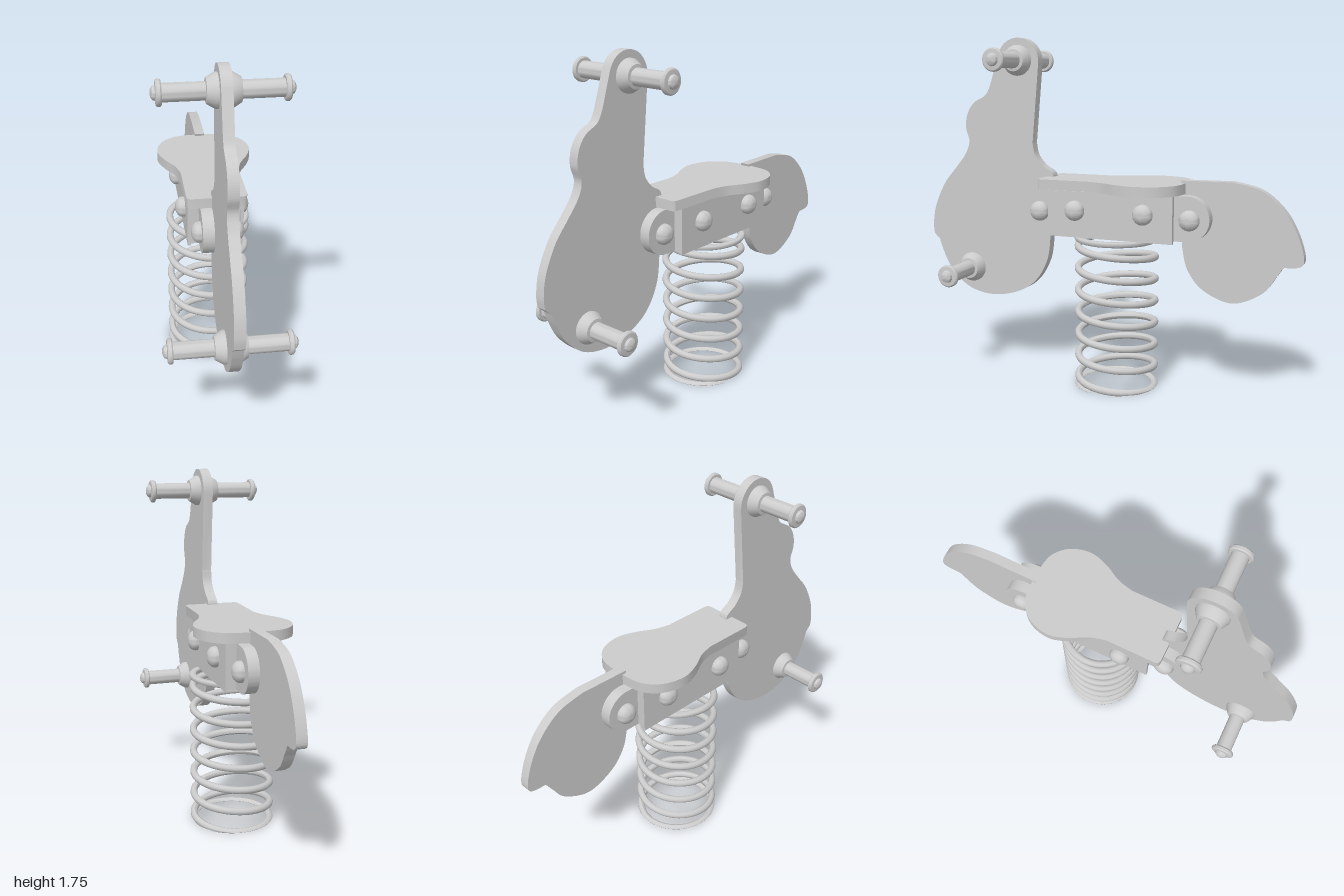
import * as THREE from 'three';
import { toCreasedNormals } from 'three/addons/utils/BufferGeometryUtils.js';

const material = new THREE.MeshStandardMaterial({ color: 0xcccccc });
const v2 = ([x, y]) => new THREE.Vector2(x, y);

function add(parent, name, geometry, x = 0, y = 0, z = 0) {
  const mesh = new THREE.Mesh(geometry, material);
  mesh.name = name;
  mesh.position.set(x, y, z);
  parent.add(mesh);
  return mesh;
}

// Closed outline from smooth runs; consecutive runs are joined by straight lines
function outline(...runs) {
  const shape = new THREE.Shape();
  runs.forEach((run, i) => {
    if (i === 0) shape.moveTo(...run[0]);
    else shape.lineTo(...run[0]);
    if (run.length > 1) shape.splineThru(run.slice(1).map(v2));
  });
  return shape;
}

function extrude(shape, depth) {
  const g = new THREE.ExtrudeGeometry(shape, { depth, bevelEnabled: false, curveSegments: 40 });
  g.translate(0, 0, -depth / 2);
  return toCreasedNormals(g, 0.5);
}

// Upright board drawn as (z, y), thickness along x
const board = (shape, thickness) => extrude(shape, thickness).rotateY(-Math.PI / 2);

function lathe(points, side) {
  const g = new THREE.LatheGeometry(points.map(v2), 32);
  return toCreasedNormals(g.rotateZ(-side * Math.PI / 2), 0.6);
}

export function createModel() {
  const model = new THREE.Group();
  model.name = 'springRider';

  // Front board: round head, chest bulge, wide rounded belly
  const arc = [];
  for (let i = 0; i <= 12; i++) {
    const a = Math.PI * (0.9 - 0.92 * i / 12);
    arc.push([0.467 + 0.117 * Math.cos(a), 1.633 + 0.117 * Math.sin(a)]);
  }
  arc.reverse().forEach(p => { p[0] = +p[0].toFixed(3); });
  // the head leans back, so the arc runs from the rear (low z) to the front
  const head = arc.map(([z, y]) => [0.934 - z, y]);
  const front = outline(
    head,
    [[0.63, 1.51], [0.66, 1.46], [0.73, 1.42], [0.77, 1.36], [0.78, 1.29], [0.762, 1.22],
      [0.785, 1.155], [0.84, 1.085], [0.92, 0.99], [0.98, 0.87], [1.0, 0.77], [0.997, 0.71]],
    [[0.965, 0.68], [0.94, 0.61], [0.89, 0.52], [0.785, 0.43], [0.64, 0.4], [0.49, 0.43],
      [0.38, 0.5], [0.31, 0.62], [0.29, 0.76]],
    [[0.27, 1.04], [0.28, 1.075], [0.335, 1.11], [0.375, 1.16], [0.388, 1.22]],
  );
  add(model, 'frontBoard', board(front, 0.05));

  // Tail board
  const tail = outline(
    [[-0.405, 1.065]],
    [[-0.66, 1.068], [-0.795, 1.035], [-0.9, 0.95], [-0.965, 0.845], [-1.0, 0.735],
      [-0.985, 0.69], [-0.91, 0.68]],
    [[-0.9, 0.67], [-0.875, 0.63], [-0.81, 0.545], [-0.67, 0.485], [-0.525, 0.535],
      [-0.445, 0.63], [-0.417, 0.74]],
    [[-0.417, 1.03]],
  );
  add(model, 'tailBoard', board(tail, 0.05));

  // Seat: narrow in front, wide and round behind, mirrored across x
  const half = [[0.143, -0.03], [0.165, 0.05], [0.212, 0.14], [0.238, 0.235], [0.215, 0.335],
    [0.153, 0.402], [0.07, 0.426]];
  const mirrored = half.map(([x, y]) => [-x, y]).reverse();
  const seat = outline(
    [[0.12, -0.31], [0.137, -0.303], [0.143, -0.285]],
    [...half, ...mirrored],
    [[-0.143, -0.285], [-0.137, -0.303], [-0.12, -0.31]],
  );
  add(model, 'seat', extrude(seat, 0.05).rotateX(-Math.PI / 2), 0, 1.027, 0);

  // Housing under the seat: core with side plates
  add(model, 'housingCore', new THREE.BoxGeometry(0.24, 0.225, 0.63), 0, 0.8875, -0.075);

  // Rounded clamp plates holding both boards
  const clamp = new THREE.Shape();
  clamp.absarc(0.308, 0.887, 0.11, -Math.PI / 2, Math.PI / 2);
  clamp.absarc(-0.455, 0.887, 0.11, Math.PI / 2, Math.PI * 1.5);

  const dome = [];
  for (let i = 0; i <= 8; i++) {
    const a = (i / 8) * Math.PI / 2;
    dome.push([0.05 * Math.cos(a), 0.01 + 0.036 * Math.sin(a)]);
  }
  const boltProfile = [[0.05, 0], ...dome];

  // Collar, rod and rounded end knob of a grip or footrest
  const gripProfile = [[0.077, 0], [0.077, 0.037], [0.055, 0.074], [0.04, 0.076], [0.04, 0.258],
    [0.052, 0.258], [0.058, 0.264], [0.058, 0.276], [0.052, 0.282], [0.032, 0.284],
    [0.028, 0.296], [0.016, 0.303], [0, 0.305]];

  for (const side of [1, -1]) {
    const label = side > 0 ? 'left' : 'right';
    add(model, label + 'HousingPlate', new THREE.BoxGeometry(0.016, 0.23, 0.65), side * 0.127, 0.885, -0.075);
    add(model, label + 'ClampPlate', board(clamp, 0.055), side * 0.0525);
    for (const z of [0.102, -0.253]) add(model, label + 'HousingBolt', lathe(boltProfile, side), side * 0.135, 0.905, z);
    for (const z of [0.32, -0.468]) add(model, label + 'ClampBolt', lathe(boltProfile, side), side * 0.08, 0.883, z);
    add(model, label + 'Handlebar', lathe(gripProfile, side), 0, 1.637, 0.467);
    add(model, label + 'Footrest', lathe(gripProfile, side), 0, 0.543, 0.758);
  }

  // Coil spring with flattened end turns
  class Coil extends THREE.Curve {
    getPoint(t, target = new THREE.Vector3()) {
      const turn = -0.95 + 8.2 * t;
      const a = turn * Math.PI * 2;
      const y = THREE.MathUtils.clamp(0.02 + 0.113 * turn, -0.004, 0.761);
      return target.set(0.195 * Math.cos(a), y, -0.067 + 0.195 * Math.sin(a));
    }
  }
  const coil = new THREE.TubeGeometry(new Coil(), 500, 0.018, 10);
  const p = coil.attributes.position;
  for (let i = 0; i < p.count; i++) p.setY(i, THREE.MathUtils.clamp(p.getY(i), 0, 0.77));
  coil.computeVertexNormals();
  add(model, 'spring', coil).material = new THREE.MeshStandardMaterial({ color: 0xcccccc, side: THREE.DoubleSide });

  return model;
}
